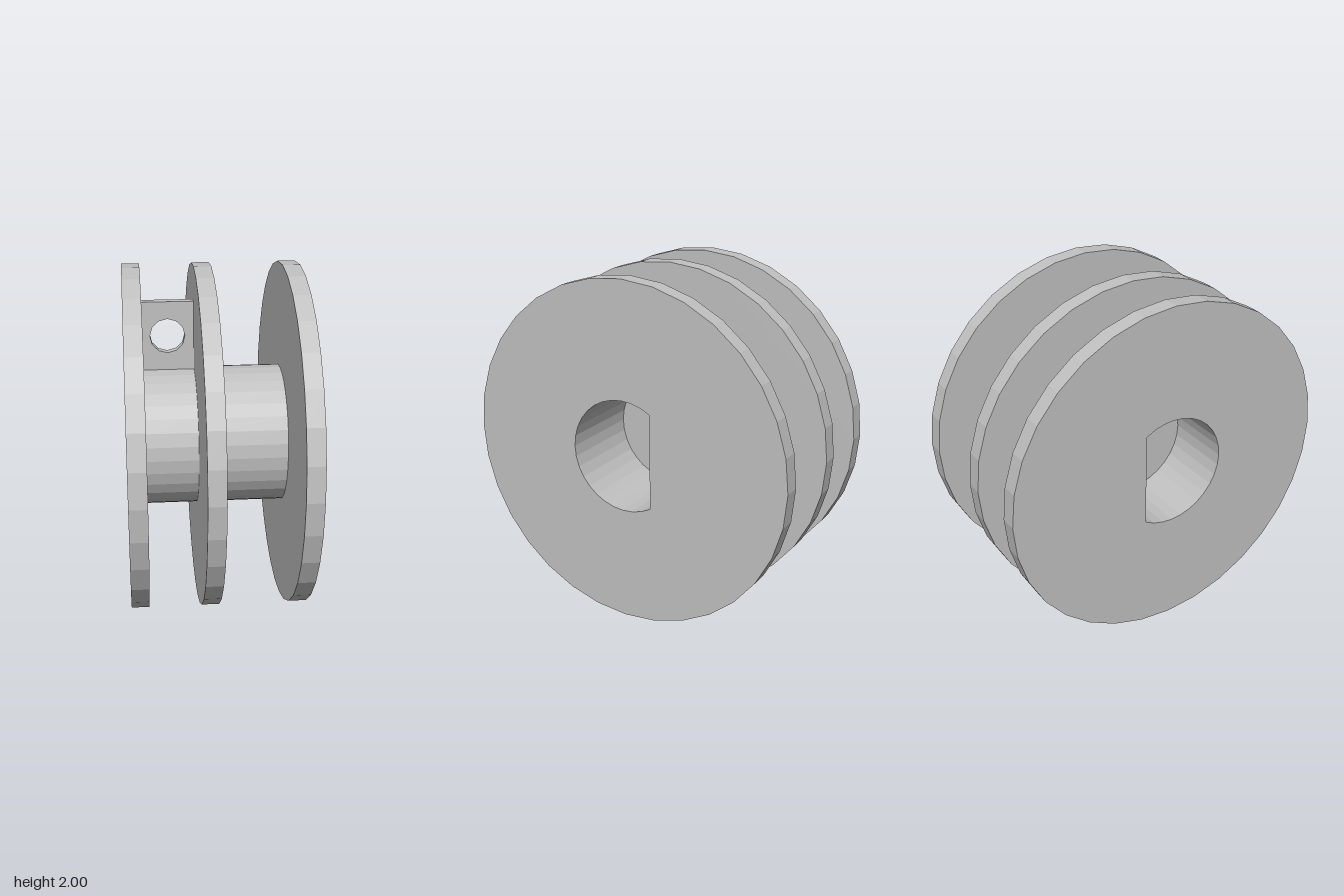
import * as THREE from 'three';

const SIDES = 32;
const BORE_R = 0.327, BORE_FLAT = 0.173;

// points along an arc about the origin
function arcPoints(r, from, to, n) {
  const pts = [];
  for (let i = 0; i <= n; i++) {
    const a = from + (to - from) * i / n;
    pts.push(new THREE.Vector2(r * Math.cos(a), r * Math.sin(a)));
  }
  return pts;
}

function circlePoints(r, n) {
  return arcPoints(r, 0, Math.PI * 2, n).slice(0, -1);
}

// round slab lying along x, optionally pierced by the D-shaped bore
function slab(radius, x0, x1, bored) {
  const shape = new THREE.Shape(circlePoints(radius, SIDES));
  if (bored) {
    const a = Math.acos(BORE_FLAT / BORE_R);
    shape.holes.push(new THREE.Path(arcPoints(BORE_R, a, Math.PI * 2 - a, 22)));
  }
  return new THREE.ExtrudeGeometry(shape, { depth: x1 - x0, bevelEnabled: false })
    .rotateY(Math.PI / 2)
    .translate(x0, 1, 0);
}

export function createModel() {
  const group = new THREE.Group();
  const grey = new THREE.MeshStandardMaterial({ color: 0xc0c0c0, flatShading: true });
  grey.name = 'plain grey';

  const add = (name, geometry) => {
    const mesh = new THREE.Mesh(geometry, grey);
    mesh.name = name;
    group.add(mesh);
  };

  // three flanges; the solid middle one closes both bores
  add('rightFlange', slab(1, -0.5, -0.4, true));
  add('middleFlange', slab(1, -0.1, 0, false));
  add('leftFlange', slab(1, 0.4, 0.5, true));

  // winding hubs between the flanges
  add('narrowHub', slab(0.4, -0.4, -0.1, true));
  add('wideHub', slab(0.4, 0, 0.4, true));

  // upright tab with a round eyelet, standing on the narrow hub
  const tab = new THREE.Shape([
    new THREE.Vector2(-0.15, -0.22), new THREE.Vector2(0.15, -0.22),
    new THREE.Vector2(0.15, 0.2), new THREE.Vector2(-0.15, 0.2),
  ]);
  tab.holes.push(new THREE.Path(circlePoints(0.1, 12)));
  add('eyeletTab', new THREE.ExtrudeGeometry(tab, { depth: 0.05, bevelEnabled: false })
    .translate(-0.25, 1.6, -0.062));

  return group;
}
